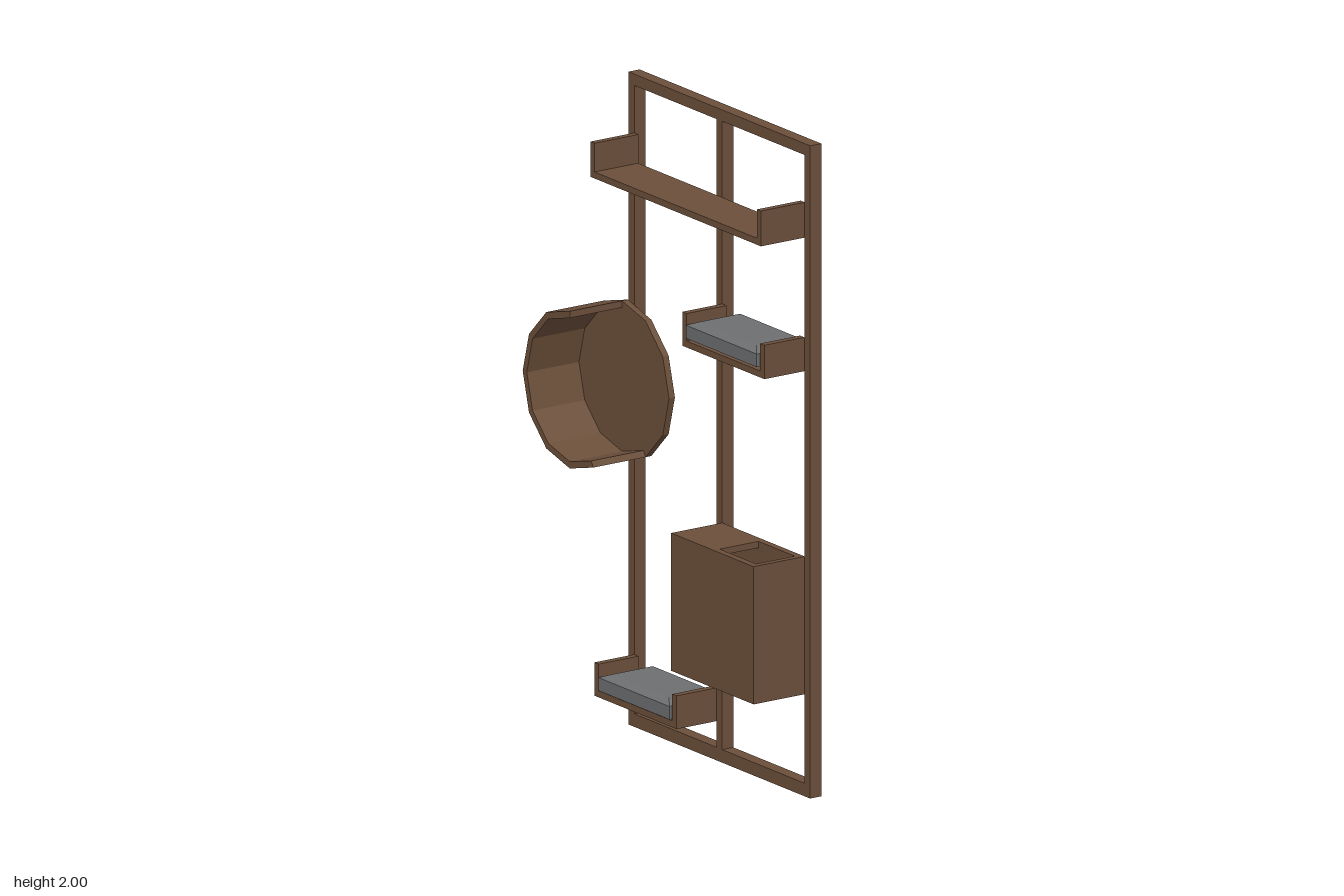
import * as THREE from 'three';

const wood = new THREE.MeshStandardMaterial({ color: 0x6b4f3a, flatShading: true });
wood.name = 'brown wood';
const fabric = new THREE.MeshStandardMaterial({ color: 0x6c6e70, flatShading: true });
fabric.name = 'grey fabric';

export function createModel() {
  const model = new THREE.Group();
  model.name = 'wallShelfUnit';

  function group(name) {
    const g = new THREE.Group();
    g.name = name;
    model.add(g);
    return g;
  }
  function add(parent, name, geometry, material = wood) {
    const mesh = new THREE.Mesh(geometry, material);
    mesh.name = name;
    parent.add(mesh);
    return mesh;
  }
  // Board given by its min and max along each axis
  function board(parent, name, x0, x1, y0, y1, z0, z1) {
    const g = new THREE.BoxGeometry(x1 - x0, y1 - y0, z1 - z0);
    g.translate((x0 + x1) / 2, (y0 + y1) / 2, (z0 + z1) / 2);
    return add(parent, name, g);
  }
  function polygon(Type, points) {
    return new Type(points.map(([x, y]) => new THREE.Vector2(x, y)));
  }
  const rect = (a0, a1, b0, b1) => [[a0, b0], [a1, b0], [a1, b1], [a0, b1]];
  // Panel with a rectangular opening, in the xy plane
  function cutPanel(outer, hole, depth) {
    const shape = polygon(THREE.Shape, rect(...outer));
    shape.holes.push(polygon(THREE.Path, rect(...hole).reverse()));
    return new THREE.ExtrudeGeometry(shape, { depth, bevelEnabled: false });
  }

  // Standing frame
  const back = -0.12, face = -0.08;
  const frame = group('frame');
  board(frame, 'bottomRail', -0.345, 0.585, 0, 0.04, back, face);
  board(frame, 'topRail', -0.345, 0.585, 1.965, 2, back, face);
  for (const [name, x] of [['rightPost', -0.345], ['middlePost', 0.105], ['leftPost', 0.555]]) {
    board(frame, name, x, x + 0.03, 0.04, 1.965, back, face);
  }

  // Shelf with upright ends
  function shelf(name, x0, x1, y, height, front, end) {
    const g = group(name);
    board(g, 'shelfBoard', x0 + end, x1 - end, y, y + 0.02, face, front);
    board(g, 'rightEnd', x0, x0 + end, y, y + height, face, front);
    board(g, 'leftEnd', x1 - end, x1, y, y + height, face, front);
    return g;
  }
  shelf('topShelf', -0.315, 0.557, 1.712, 0.108, 0.077, 0.021);

  // Cushion with a chamfered top
  function cushion(parent, x0, x1, y) {
    const g = new THREE.BoxGeometry(x1 - x0, 0.055, 0.194, 1, 2, 1);
    const p = g.attributes.position;
    for (let i = 0; i < p.count; i++) {
      if (p.getY(i) > 0.01) {
        p.setX(i, p.getX(i) - Math.sign(p.getX(i)) * 0.037);
        p.setZ(i, p.getZ(i) - Math.sign(p.getZ(i)) * 0.025);
      } else if (p.getY(i) > -0.01) {
        p.setY(i, 0.0125);
      }
    }
    g.computeVertexNormals();
    g.translate((x0 + x1) / 2, y + 0.0275, -0.031);
    add(parent, 'cushion', g, fabric);
  }
  cushion(shelf('upperBed', 0.135, 0.555, 1.302, 0.104, 0.063, 0.022), 0.157, 0.52, 1.331);
  cushion(shelf('lowerBed', -0.315, 0.105, 0.12, 0.102, 0.063, 0.022), -0.29, 0.073, 0.142);

  // Hollow box with openings on top and on one side
  const box = group('hollowBox');
  const [bx0, bx1, by0, by1, bz1, t] = [0.135, 0.557, 0.313, 0.735, 0.103, 0.02];
  board(box, 'backPanel', bx0, bx1, by0, by1, face, face + t);
  board(box, 'frontPanel', bx0, bx1, by0, by1, bz1 - t, bz1);
  board(box, 'bottomPanel', bx0, bx1, by0, by0 + t, face + t, bz1 - t);
  board(box, 'leftPanel', bx1 - t, bx1, by0 + t, by1 - t, face + t, bz1 - t);
  const lid = cutPanel([bx0, bx1, -bz1 + t, -face - t], [0.352, 0.537, -bz1 + t + 0.002, -face - t - 0.002], t);
  lid.rotateX(-Math.PI / 2).translate(0, by1 - t, 0);
  add(box, 'topPanel', lid);
  const side = cutPanel([-bz1 + t, -face - t, by0 + t, by1 - t], [-bz1 + t + 0.002, -face - t - 0.002, 0.4, 0.62], t);
  side.rotateY(Math.PI / 2).translate(bx0, 0, 0);
  add(box, 'rightPanel', side);

  // Twelve-sided drum, its wall left open on one side
  const drum = group('drum');
  drum.position.set(-0.348, 1.06, face);
  const R = 0.241, r = 0.22;
  const corner = (radius, i) => [radius * Math.cos(i * Math.PI / 6), radius * Math.sin(i * Math.PI / 6)];
  const disc = [], outer = [], inner = [];
  for (let i = 0; i < 12; i++) disc.push(corner(R, i));
  for (let i = 3; i <= 10; i++) {
    outer.push(corner(R, i));
    inner.unshift(corner(r, i));
  }
  add(drum, 'drumBack', new THREE.ExtrudeGeometry(polygon(THREE.Shape, disc), { depth: 0.021, bevelEnabled: false }));
  const wall = new THREE.ExtrudeGeometry(polygon(THREE.Shape, [...outer, ...inner]), { depth: 0.187, bevelEnabled: false });
  add(drum, 'drumWall', wall.translate(0, 0, 0.021));

  return model;
}
